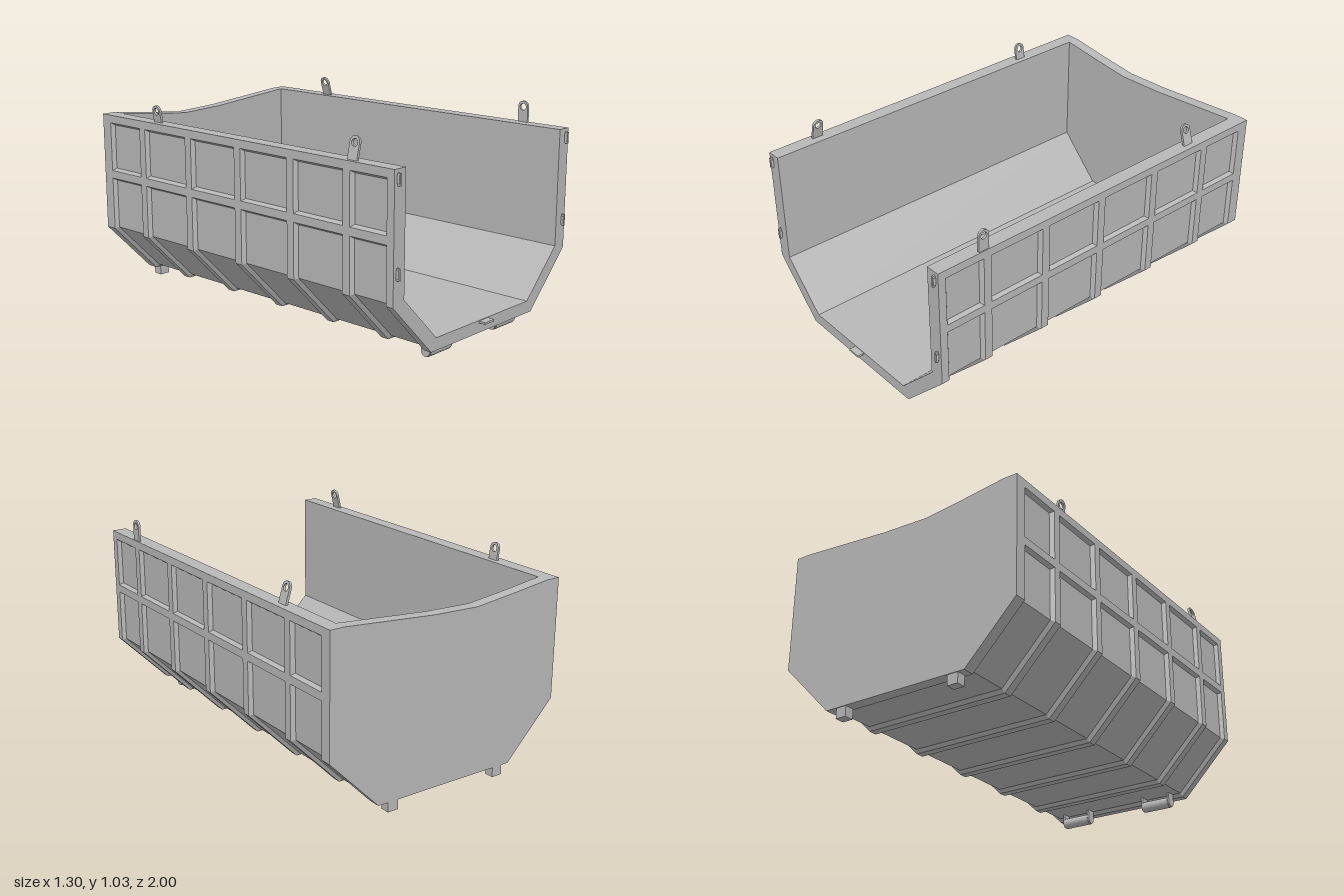
import * as THREE from 'three';

const TOP = 0.93, D = 0.018, B = 0.014; // rim height, recess depth, bevel width
const BACK = -1, FRONT = 0.965;

// half profiles, from the rim down to the floor edge
const OUTER = [[0.65, TOP], [0.65, 0.33], [0.385, 0.06]];
const PANEL = [[0.65 - D, TOP], [0.65 - D, 0.337], [0.378, 0.06 + D]];
const INNER = [[0.577, TOP], [0.577, 0.35], [0.35, 0.12]];

// full U from +x rim, under the floor, to the -x rim
const mirrorU = half => [...half, ...half.slice().reverse().map(([x, y]) => [-x, y])];
const toShape = pts => new THREE.Shape(pts.map(([x, y]) => new THREE.Vector2(x, y)));

function extrude(pts, z0, z1) {
  const g = new THREE.ExtrudeGeometry(toShape(pts), { depth: z1 - z0, bevelEnabled: false });
  return g.translate(0, 0, z0);
}

// U-shaped rib wrapped around the body, with sloping flanks
function ribGeometry(z0, z1) {
  const o = mirrorU(OUTER), p = mirrorU(PANEL);
  const rows = [[p, z0 - B], [o, z0], [o, z1], [p, z1 + B]];
  const pos = [];
  for (let j = 0; j < 3; j++) {
    for (let i = 0; i < o.length - 1; i++) {
      const v = (r, k) => [...rows[r][0][k], rows[r][1]];
      const a = v(j, i), b = v(j, i + 1), c = v(j + 1, i + 1), d = v(j + 1, i);
      pos.push(...a, ...d, ...c, ...a, ...c, ...b);
    }
  }
  const g = new THREE.BufferGeometry();
  g.setAttribute('position', new THREE.Float32BufferAttribute(pos, 3));
  g.computeVertexNormals();
  return g;
}

// flat lifting eye with a round top and a hole
function lugGeometry(height) {
  const r = 0.028, t = 0.012;
  const s = new THREE.Shape();
  s.moveTo(-r, -0.01);
  s.lineTo(r, -0.01);
  s.lineTo(r, height - r);
  s.absarc(0, height - r, r, 0, Math.PI, false);
  s.closePath();
  const hole = new THREE.Path();
  hole.absarc(0, height - r - 0.002, 0.017, 0, Math.PI * 2, true);
  s.holes.push(hole);
  const g = new THREE.ExtrudeGeometry(s, { depth: t, bevelEnabled: false, curveSegments: 10 });
  return g.translate(0, 0, -t / 2).rotateY(Math.PI / 2);
}

export function createModel() {
  const root = new THREE.Group();
  root.name = 'openSkipContainer';
  const steel = new THREE.MeshStandardMaterial({ color: 0xb8b8b8 });
  steel.name = 'grey steel';

  function add(name, geometry, x = 0, y = 0, z = 0, parent = root) {
    const m = new THREE.Mesh(geometry, steel);
    m.name = name;
    m.position.set(x, y, z);
    parent.add(m);
    return m;
  }

  // trough: recessed walls and floor
  const inner = mirrorU(INNER).reverse();
  add('troughShell', extrude([...mirrorU(PANEL), ...inner], -0.95, 0.95));

  // open front frame and its bevelled flank
  add('frontFrame', extrude([...mirrorU(OUTER), ...inner], 0.94, FRONT));
  add('frontRib', ribGeometry(0.925, 0.95));

  // back wall with a sagging top edge
  const sag = [[-0.577, TOP], [-0.38, 0.905], [-0.15, 0.88], [0.1, 0.89], [0.577, TOP]];
  add('backWall', extrude([...mirrorU(OUTER), ...sag], BACK, -0.94));
  add('backRib', ribGeometry(-0.96, -0.94));

  // ribs between the panels
  for (const z of [0.695, 0.355, 0.01, -0.338, -0.685]) {
    add('rib', ribGeometry(z - 0.021, z + 0.021));
  }

  // horizontal rails on both sides
  const xi = 0.65 - D - 0.003, xo = 0.65;
  const rails = {
    topRail: [[xi, 0.89 - B], [xo, 0.89], [xo, TOP], [xi, TOP]],
    middleRail: [[xi, 0.60 - B], [xo, 0.60], [xo, 0.64], [xi, 0.64 + B]],
  };
  for (const [name, pts] of Object.entries(rails)) {
    for (const s of [1, -1]) {
      add(name, extrude(pts.map(([x, y]) => [s * x, y]), -0.96, 0.95));
    }
  }

  // lifting eyes, each leaning differently: x, z, height, lean
  const lugs = [
    [0.638, 0.71, 0.105, 0],
    [0.613, -0.6, 0.103, 0.29],
    [-0.625, 0.71, 0.105, -0.23],
    [-0.611, -0.6, 0.085, 0.14],
  ];
  for (const [x, z, h, lean] of lugs) {
    add('liftingEye', lugGeometry(h), x, TOP, z).rotation.z = lean;
  }

  // hinge knuckles on the front posts
  for (const s of [1, -1]) {
    for (const y of [0.885, 0.475]) {
      add('hingePlate', new THREE.BoxGeometry(0.009, 0.056, 0.016), s * 0.627, y, FRONT + 0.007);
      const knuckle = new THREE.CylinderGeometry(0.009, 0.009, 0.036, 10);
      add('hingeKnuckle', knuckle, s * 0.627, y, FRONT + 0.004);
    }
  }

  // door catch on the front sill
  add('doorCatch', new THREE.BoxGeometry(0.07, 0.01, 0.045), 0, 0.112, 0.9775);

  // front rollers with end brackets
  for (const x of [-0.25, 0.247]) {
    const roller = new THREE.Group();
    roller.name = 'roller';
    roller.position.set(x, 0.031, 0.89);
    root.add(roller);
    const drum = new THREE.CylinderGeometry(0.028, 0.028, 0.148, 20).rotateZ(Math.PI / 2);
    add('rollerDrum', drum, 0, 0, 0, roller);
    for (const s of [1, -1]) {
      add('rollerBracket', new THREE.BoxGeometry(0.01, 0.05, 0.05), s * 0.078, 0.025, 0, roller);
      const cap = new THREE.CylinderGeometry(0.025, 0.025, 0.01, 16).rotateZ(Math.PI / 2);
      add('bracketEnd', cap, s * 0.078, 0, 0, roller);
    }
  }

  // rear feet
  for (const x of [-0.322, 0.3]) {
    add('rearFoot', new THREE.BoxGeometry(0.056, 0.07, 0.048), x, 0.044, -0.972);
  }

  // stand on y = 0
  const low = new THREE.Box3().setFromObject(root).min.y;
  for (const child of root.children) child.position.y -= low;
  return root;
}
